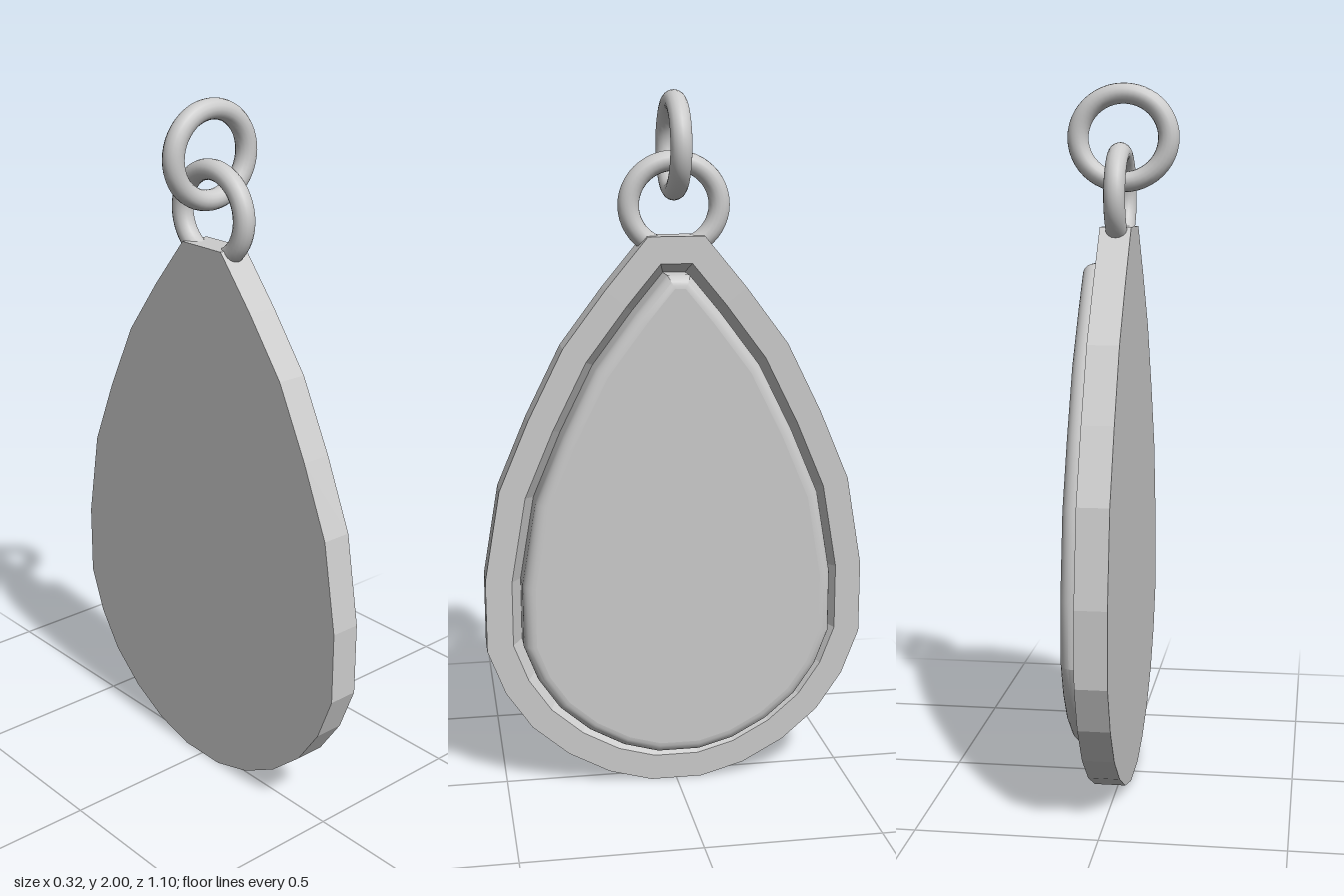
import * as THREE from 'three';
import { toCreasedNormals } from 'three/addons/utils/BufferGeometryUtils.js';

// Right half of the teardrop, bottom to top; mirrored into a closed loop
const half = [
  [0.075, 0], [0.2, 0.035], [0.32, 0.1], [0.425, 0.19], [0.5, 0.3], [0.55, 0.43],
  [0.55, 0.64], [0.505, 0.9], [0.42, 1.1], [0.32, 1.3], [0.2, 1.46], [0.08, 1.605],
].map(([x, y]) => new THREE.Vector2(x, y));
const outline = [...half, ...half.slice().reverse().map(p => new THREE.Vector2(-p.x, p.y))];

// Outline moved inward by d, with mitred corners
function inset(d) {
  const n = outline.length;
  const normal = (a, b) => new THREE.Vector2(a.y - b.y, b.x - a.x).normalize();
  return outline.map((p, i) => {
    const n1 = normal(outline[(i + n - 1) % n], p);
    const n2 = normal(p, outline[(i + 1) % n]);
    return n1.clone().add(n2).multiplyScalar(d / (1 + n1.dot(n2))).add(p);
  });
}

// Skin through insets of the outline; each level is [inset, depth]
function skin(levels, crease) {
  const n = outline.length, pos = [], idx = [];
  levels.forEach(([d, z]) => inset(d).forEach(p => pos.push(p.x, p.y, z)));
  for (let k = 0; k < levels.length - 1; k++) {
    for (let i = 0; i < n; i++) {
      const a = k * n + i, b = k * n + (i + 1) % n;
      idx.push(a, b, b + n, a, b + n, a + n);
    }
  }
  const geo = new THREE.BufferGeometry();
  geo.setAttribute('position', new THREE.Float32BufferAttribute(pos, 3));
  geo.setIndex(idx);
  return toCreasedNormals(geo, crease);
}

// Flat face filling an inset of the outline
function cap(d, z, back = false) {
  const geo = new THREE.ShapeGeometry(new THREE.Shape(inset(d)));
  if (back) geo.rotateY(Math.PI);
  return geo.translate(0, 0, z);
}

export function createModel() {
  const model = new THREE.Group();
  const material = new THREE.MeshStandardMaterial({ color: 0xcccccc });
  const add = (parent, name, geo) => {
    const mesh = new THREE.Mesh(geo, material);
    mesh.name = name;
    parent.add(mesh);
    return mesh;
  };

  // Pendant is drawn facing +z, then turned to face +x
  const pendant = new THREE.Group();
  pendant.name = 'pendant';
  pendant.rotation.y = Math.PI / 2;
  model.add(pendant);

  // Faceted setting with a sloped recess
  const back = -0.033, face = 0.055, floor = 0.005;
  add(pendant, 'settingRim', skin([[0, back], [0, face], [0.075, face], [0.103, floor]], 0.02));
  add(pendant, 'settingBack', cap(0, back, true));
  add(pendant, 'settingFloor', cap(0.1, floor));

  // Stone with a rounded upper edge
  const top = 0.113, r = 0.035, steps = 6;
  const levels = [[0.103, floor]];
  for (let i = 0; i <= steps; i++) {
    const a = (i / steps) * Math.PI / 2;
    levels.push([0.103 + r * (1 - Math.cos(a)), top - r + r * Math.sin(a)]);
  }
  add(pendant, 'stoneEdge', skin(levels, 0.35));
  add(pendant, 'stoneFace', cap(0.103 + r, top));

  // Two linked rings at right angles
  const ringGeo = new THREE.TorusGeometry(0.128, 0.03, 16, 48).scale(1, 0.95, 1);
  add(model, 'upperRing', ringGeo).position.set(0, 1.85, 0);
  const lower = add(model, 'lowerRing', ringGeo);
  lower.position.set(0.008, 1.688, 0);
  lower.rotation.y = Math.PI / 2;

  return model;
}
